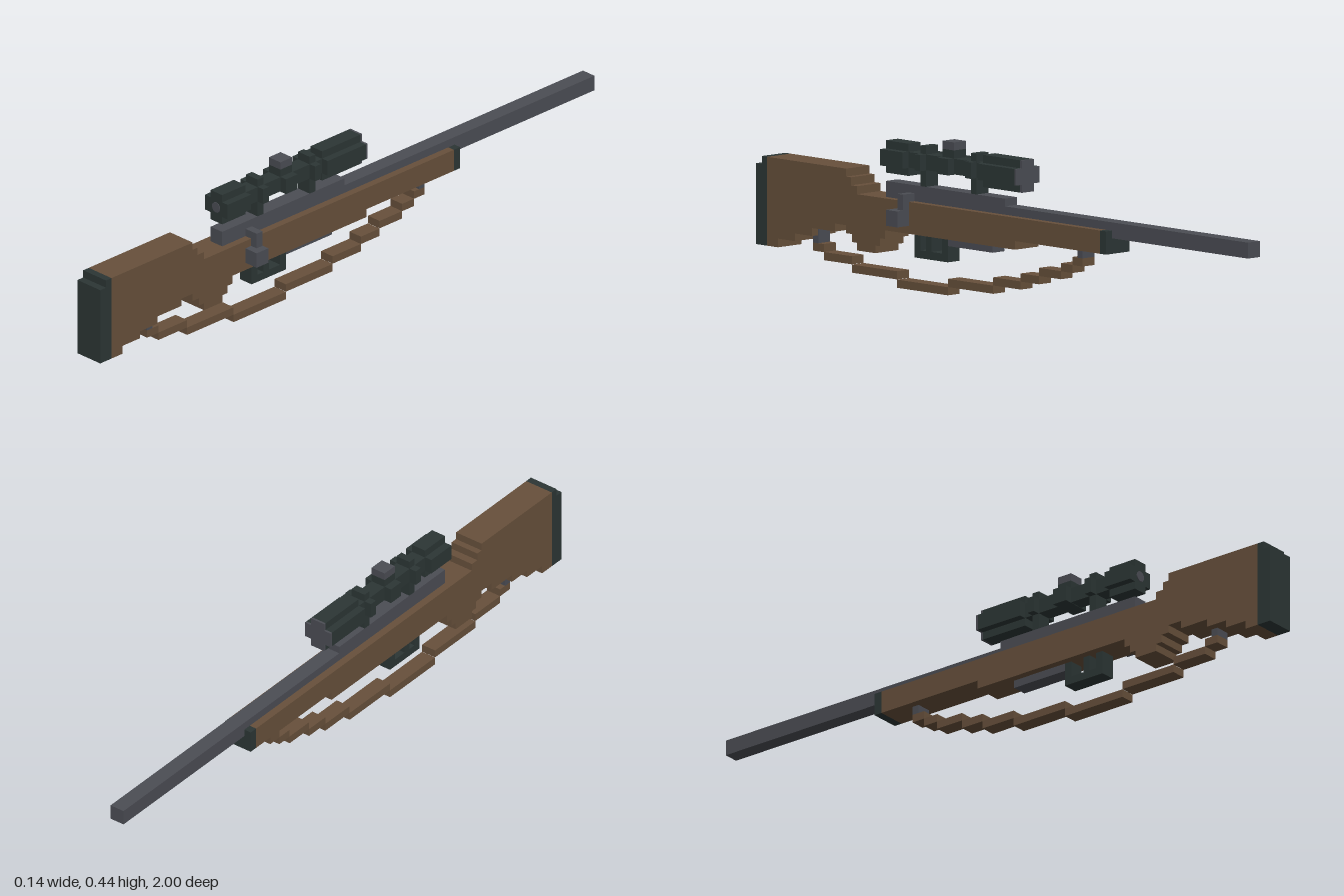
import * as THREE from 'three';

const wood = new THREE.MeshStandardMaterial({ color: 0x67503b });
wood.name = 'wood';
const dark = new THREE.MeshStandardMaterial({ color: 0x2c3635 });
dark.name = 'darkPolymer';
const steel = new THREE.MeshStandardMaterial({ color: 0x4b4d54 });
steel.name = 'steel';

// x ranges of the narrow (barrel-wide) and full (stock-wide) parts
const NARROW = [-0.047, 0];
const WIDE = [-0.07, 0.0225];
const MID = -0.0237;

export function createModel() {
  const model = new THREE.Group();
  model.name = 'rifle';

  // Box from its x, y and z ranges
  function block(name, material, x, y, z, parent = model) {
    const mesh = new THREE.Mesh(
      new THREE.BoxGeometry(x[1] - x[0], y[1] - y[0], Math.abs(z[1] - z[0])), material);
    mesh.position.set((x[0] + x[1]) / 2, (y[0] + y[1]) / 2, (z[0] + z[1]) / 2);
    mesh.name = name;
    parent.add(mesh);
    return mesh;
  }

  function group(name) {
    const g = new THREE.Group();
    g.name = name;
    model.add(g);
    return g;
  }

  // Stepped stock outline: [z, y] corners, each joined by a flat then a riser
  const top = [[0.955, 0.326], [0.63, 0.303], [0.61, 0.28], [0.585, 0.257], [-0.415, 0.19]];
  const bottom = [[-0.065, 0.165], [0.47, 0.14], [0.49, 0.117], [0.51, 0.095], [0.585, 0.117],
    [0.605, 0.14], [0.63, 0.163], [0.675, 0.14], [0.77, 0.117], [0.84, 0.095], [0.91, 0.07]];
  const outline = new THREE.Shape();
  outline.moveTo(0.955, 0.07);
  let y = 0.07;
  for (const [z, next] of [...top, ...bottom]) {
    outline.lineTo(z, y);
    outline.lineTo(z, next);
    y = next;
  }
  outline.closePath();
  const stockGeometry = new THREE.ExtrudeGeometry(outline, {
    depth: WIDE[1] - WIDE[0], bevelEnabled: false });
  stockGeometry.rotateY(-Math.PI / 2).translate(WIDE[1], 0, 0);
  const stock = new THREE.Mesh(stockGeometry, wood);
  stock.name = 'stock';
  model.add(stock);

  // Butt pad and fore-end cap
  block('buttPadInner', dark, WIDE, [0.07, 0.326], [0.955, 0.977]);
  block('buttPadOuter', dark, WIDE, [0.07, 0.303], [0.977, 1]);
  block('foreEndCap', dark, WIDE, [0.19, 0.257], [-0.44, -0.415]);

  // Barrel, receiver and magazine floor
  block('barrel', steel, NARROW, [0.235, 0.281], [-1, 0]);
  block('receiver', steel, NARROW, [0.25, 0.303], [0, 0.49]);
  block('magazineFloor', steel, NARROW, [0.142, 0.168], [0.05, 0.235]);

  // Bolt handle on the model's left side
  const bolt = group('boltHandle');
  block('boltArm', steel, [-0.01, 0.045], [0.234, 0.28], [0.372, 0.396], bolt);
  block('boltKnob', steel, [0.0225, 0.068], [0.188, 0.234], [0.372, 0.419], bolt);

  // Trigger and guard
  const guard = group('triggerGuard');
  block('guardBottom', dark, NARROW, [0.095, 0.118], [0.235, 0.372], guard);
  block('guardRear', dark, NARROW, [0.118, 0.166], [0.348, 0.372], guard);
  block('guardFront', dark, NARROW, [0.118, 0.166], [0.235, 0.258], guard);
  block('trigger', dark, NARROW, [0.118, 0.166], [0.302, 0.325], guard);

  // Sling: stepped strap segments [z start, z end, y bottom]
  const sling = group('sling');
  const strap = [[0.79, 0.745, 0.071], [0.745, 0.63, 0.048], [0.63, 0.444, 0.024],
    [0.444, 0.235, 0], [0.235, 0.048, 0.024], [0.048, -0.065, 0.048], [-0.065, -0.14, 0.071],
    [-0.14, -0.23, 0.095], [-0.23, -0.278, 0.118], [-0.278, -0.32, 0.141]];
  for (const [z0, z1, y0] of strap) {
    block('strapSegment', wood, NARROW, [y0, y0 + 0.0235], [z0, z1], sling);
  }
  block('rearSwivel', steel, NARROW, [0.094, 0.141], [0.768, 0.79], sling);
  block('frontSwivel', steel, NARROW, [0.164, 0.192], [-0.32, -0.298], sling);

  // Scope: a plus-shaped section repeated along a square tube
  const scope = group('scope');
  function plus(name, material, z, low = 0.327, high = 0.42) {
    block(name + 'Upright', material, NARROW, [low, high], z, scope);
    block(name + 'Left', material, [NARROW[1], WIDE[1]], [0.35, 0.397], z, scope);
    block(name + 'Right', material, [WIDE[0], NARROW[0]], [0.35, 0.397], z, scope);
  }
  block('scopeTube', dark, NARROW, [0.351, 0.396], [0.09, 0.4], scope);
  plus('eyepiece', dark, [0.397, 0.49]);
  plus('objective', dark, [-0.063, 0.09]);
  plus('objectiveLens', steel, [-0.07, -0.063]);
  plus('rearRing', dark, [0.325, 0.348], 0.303);
  plus('frontRing', dark, [0.117, 0.14], 0.303);
  plus('turret', dark, [0.21, 0.257], 0.35);
  block('turretCap', steel, NARROW, [0.42, 0.443], [0.21, 0.257], scope);

  // Small round eyepiece lens
  const lens = new THREE.Mesh(new THREE.CylinderGeometry(0.016, 0.016, 0.004, 12), steel);
  lens.rotation.x = Math.PI / 2;
  lens.position.set(MID, 0.373, 0.49);
  lens.name = 'eyepieceLens';
  scope.add(lens);

  return model;
}
